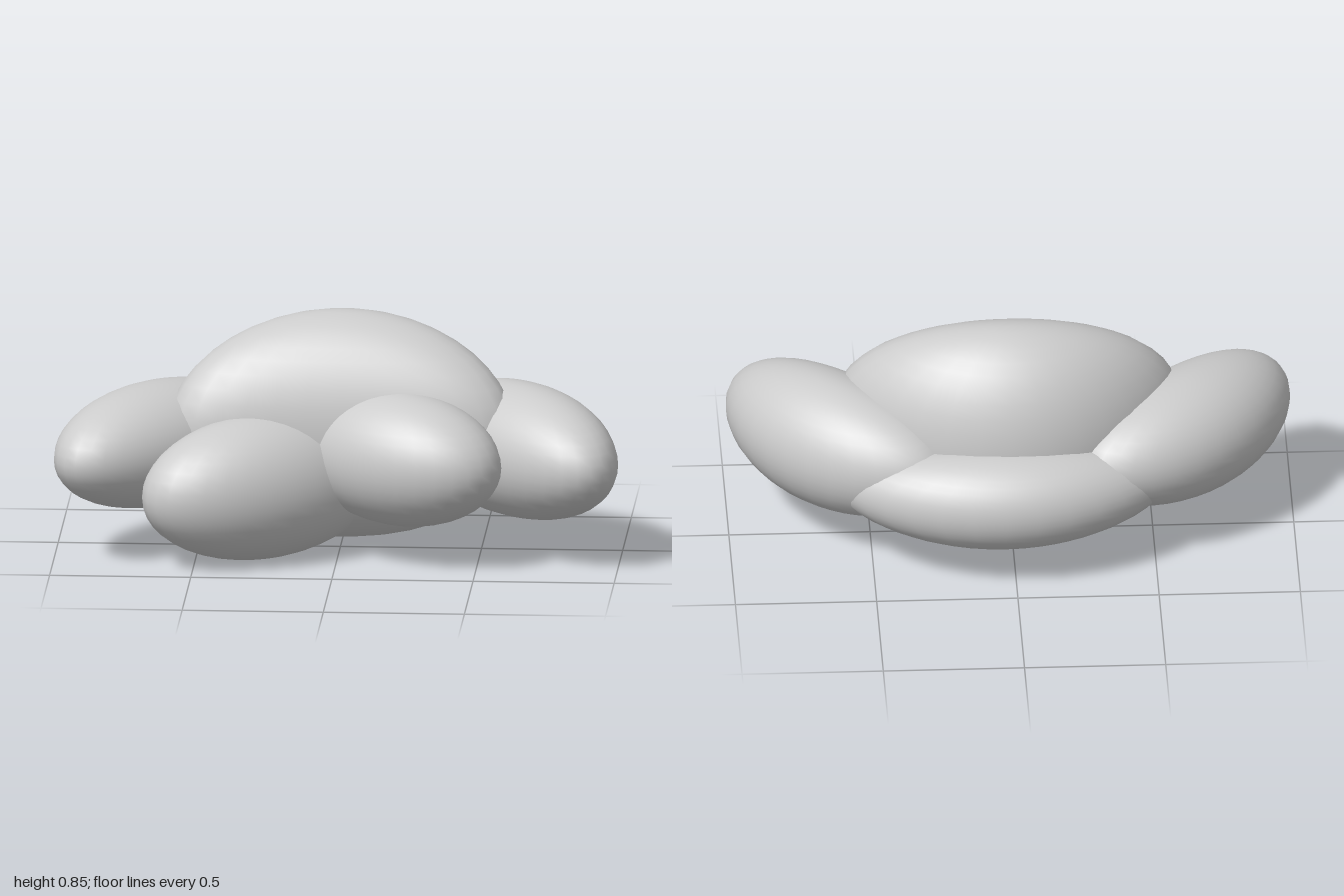
import * as THREE from 'three';
import { mergeVertices } from 'three/addons/utils/BufferGeometryUtils.js';

const material = new THREE.MeshStandardMaterial({ color: 0xcccccc });

// One smooth ellipsoid puff; bend curves its long axis into a bean shape.
function puff(name, center, radii, yawDegrees = 0, bend = 0) {
  let geometry = new THREE.SphereGeometry(1, 32, 22);
  geometry.deleteAttribute('uv');
  geometry.deleteAttribute('normal');
  geometry = mergeVertices(geometry, 1e-4);
  geometry.scale(...radii);
  const p = geometry.attributes.position;
  for (let i = 0; i < p.count; i++) p.setZ(i, p.getZ(i) + bend * p.getX(i) ** 2);
  geometry.computeVertexNormals();
  const mesh = new THREE.Mesh(geometry, material);
  mesh.name = name;
  mesh.position.set(...center);
  mesh.rotation.y = THREE.MathUtils.degToRad(yawDegrees);
  return mesh;
}

export function createModel() {
  const cloud = new THREE.Group();
  cloud.name = 'cloud';
  cloud.add(
    // tall middle and the long low puff behind it
    puff('centerPuff', [0.01, 0.44, -0.05], [0.62, 0.41, 0.29], 0, 0.4),
    puff('backPuff', [0.04, 0.305, -0.32], [0.6, 0.178, 0.19], 0, 0.4),
    // swept-forward sides
    puff('leftSidePuff', [0.635, 0.37, 0.02], [0.5, 0.24, 0.24], -45, 0.2),
    puff('rightSidePuff', [-0.635, 0.375, 0.02], [0.5, 0.222, 0.24], 45, 0.2),
    // two front puffs
    puff('leftFrontPuff', [0.22, 0.37, 0.18], [0.416, 0.24, 0.245], -34.6),
    puff('rightFrontPuff', [-0.27, 0.26, 0.18], [0.47, 0.26, 0.24], 34)
  );
  return cloud;
}
